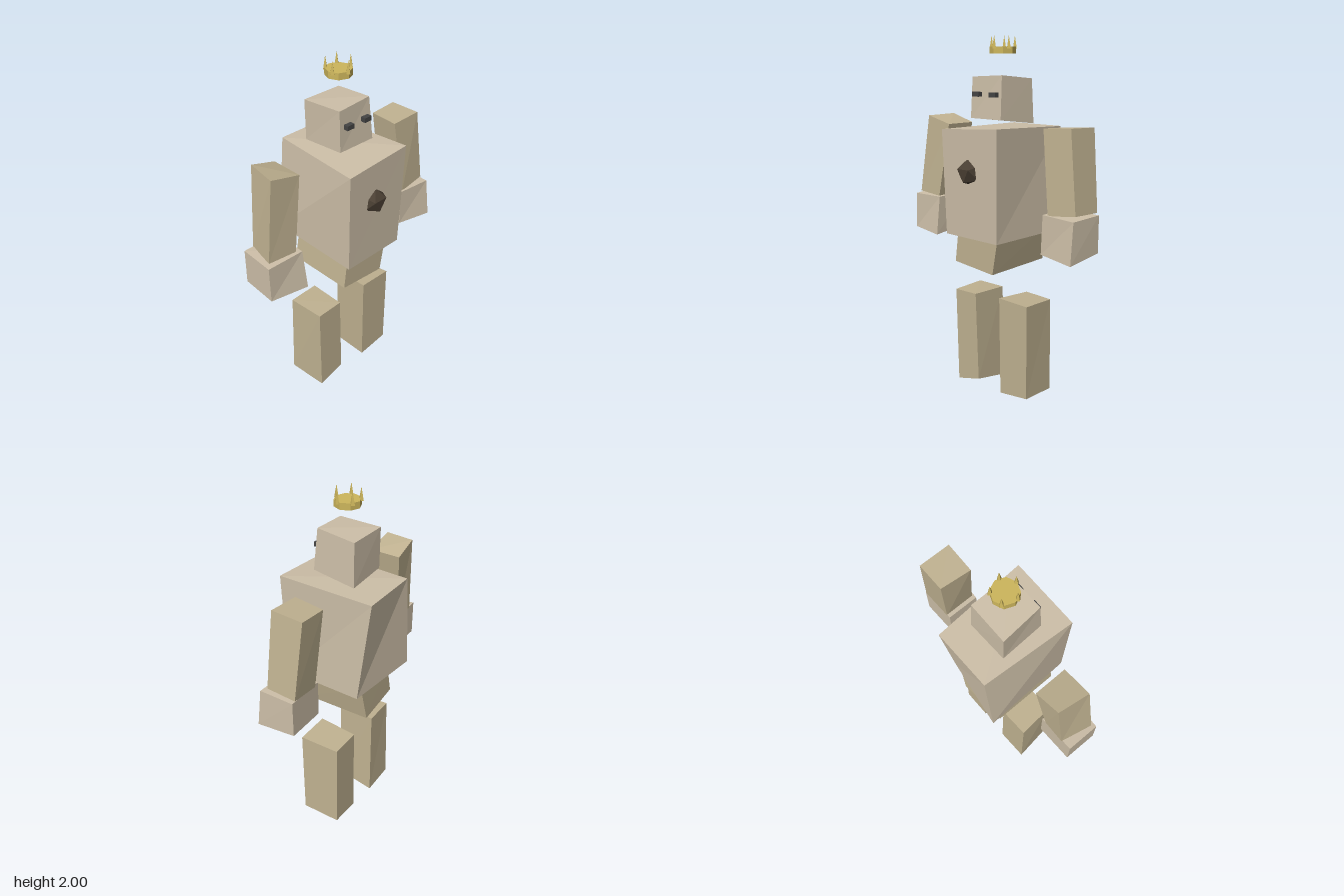
import * as THREE from 'three';

const mat = (color) => new THREE.MeshStandardMaterial({ color, flatShading: true });
const STONE = mat(0xcdbfa8), CLAY = mat(0xc0b291), DARK = mat(0x4a3f33), EYE = mat(0x444444), GOLD = mat(0xcdb65c);

function add(parent, name, geometry, material, x = 0, y = 0, z = 0) {
  const mesh = new THREE.Mesh(geometry, material);
  mesh.name = name;
  mesh.position.set(x, y, z);
  parent.add(mesh);
  return mesh;
}

// Roughly hewn block: a box whose corners are moved to eight given points.
// Each ring runs (-x,-z), (+x,-z), (+x,+z), (-x,+z).
function block(top, bottom) {
  const g = new THREE.BoxGeometry(2, 2, 2).toNonIndexed();
  const p = g.attributes.position;
  for (let i = 0; i < p.count; i++) {
    const right = p.getX(i) > 0, front = p.getZ(i) > 0;
    const corner = front ? (right ? 2 : 3) : (right ? 1 : 0);
    p.setXYZ(i, ...(p.getY(i) > 0 ? top : bottom)[corner]);
  }
  g.computeVertexNormals();
  return g;
}

export function createModel() {
  const model = new THREE.Group();
  model.name = 'stoneFigure';

  // Body and head, with the face towards +x
  add(model, 'torso', block(
    [[-0.29, 1.515, -0.19], [0.25, 1.535, -0.215], [0.25, 1.51, 0.19], [-0.29, 1.515, 0.155]],
    [[-0.22, 0.935, -0.205], [0.235, 0.935, -0.2], [0.235, 0.935, 0.18], [-0.29, 0.975, 0.205]]), STONE);
  add(model, 'pelvis', block(
    [[-0.22, 0.96, -0.16], [0.185, 0.96, -0.16], [0.185, 0.96, 0.14], [-0.2, 0.96, 0.14]],
    [[-0.23, 0.755, -0.12], [0.185, 0.745, -0.12], [0.185, 0.77, 0.165], [-0.21, 0.77, 0.165]]), CLAY);
  add(model, 'head', block(
    [[-0.135, 1.775, -0.11], [0.09, 1.795, -0.1], [0.095, 1.785, 0.11], [-0.14, 1.775, 0.125]],
    [[-0.14, 1.535, -0.12], [0.11, 1.565, -0.11], [0.105, 1.565, 0.115], [-0.14, 1.55, 0.12]]), STONE);

  // Arms
  add(model, 'armFront', block(
    [[-0.13, 1.515, 0.345], [0.055, 1.515, 0.345], [0.05, 1.555, 0.52], [-0.125, 1.56, 0.495]],
    [[-0.1, 1.1, 0.41], [0.08, 1.095, 0.41], [0.07, 1.105, 0.58], [-0.105, 1.1, 0.54]]), CLAY);
  add(model, 'armBack', block(
    [[-0.13, 1.54, -0.535], [0.055, 1.545, -0.53], [0.05, 1.535, -0.35], [-0.13, 1.53, -0.37]],
    [[-0.105, 1.11, -0.585], [0.07, 1.115, -0.58], [0.08, 1.095, -0.41], [-0.1, 1.09, -0.41]]), CLAY);

  // Hands share one shape
  const hand = block(
    [[-0.1, 1.1, 0.385], [0.1, 1.095, 0.385], [0.09, 1.09, 0.6], [-0.1, 1.105, 0.6]],
    [[-0.1, 0.9, 0.385], [0.13, 0.875, 0.38], [0.095, 0.885, 0.6], [-0.1, 0.905, 0.6]]);
  add(model, 'handFront', hand, STONE);
  add(model, 'handBack', block(
    [[-0.1, 1.1, -0.6], [0.105, 1.095, -0.595], [0.09, 1.1, -0.385], [-0.1, 1.105, -0.385]],
    [[-0.1, 0.9, -0.6], [0.13, 0.875, -0.6], [0.095, 0.89, -0.38], [-0.1, 0.905, -0.385]]), STONE);

  // Legs
  add(model, 'legFront', block(
    [[-0.13, 0.56, 0.1], [0.09, 0.565, 0.105], [0.09, 0.56, 0.265], [-0.125, 0.56, 0.28]],
    [[-0.135, 0.005, 0.09], [0.085, 0.045, 0.09], [0.085, 0, 0.255], [-0.135, 0.02, 0.285]]), CLAY);
  add(model, 'legBack', block(
    [[-0.13, 0.565, -0.265], [0.095, 0.58, -0.285], [0.095, 0.585, -0.085], [-0.13, 0.57, -0.09]],
    [[-0.13, 0.03, -0.27], [0.09, 0.045, -0.285], [0.09, 0.02, -0.09], [-0.13, 0.02, -0.09]]), CLAY);

  // Eyes and chest gem
  for (const side of [-1, 1]) {
    add(model, 'eye', new THREE.BoxGeometry(0.05, 0.025, 0.046), EYE, 0.1, 1.694, side * 0.061);
  }
  const gem = add(model, 'chestGem', new THREE.IcosahedronGeometry(0.076, 0), DARK, 0.222, 1.295, 0);
  gem.rotation.z = 0.3;

  // Floating crown: an eight-sided band with five spikes
  const crown = new THREE.Group();
  crown.name = 'crown';
  crown.position.set(-0.023, 1.905, 0);
  model.add(crown);
  add(crown, 'crownBand', new THREE.CylinderGeometry(0.07, 0.07, 0.036, 8), GOLD, 0, 0.018, 0);
  for (let i = 0; i < 5; i++) {
    const a = i * Math.PI * 2 / 5;
    add(crown, 'crownSpike', new THREE.ConeGeometry(0.014, 0.07, 4), GOLD,
      Math.cos(a) * 0.066, 0.06, Math.sin(a) * 0.066);
  }
  return model;
}
